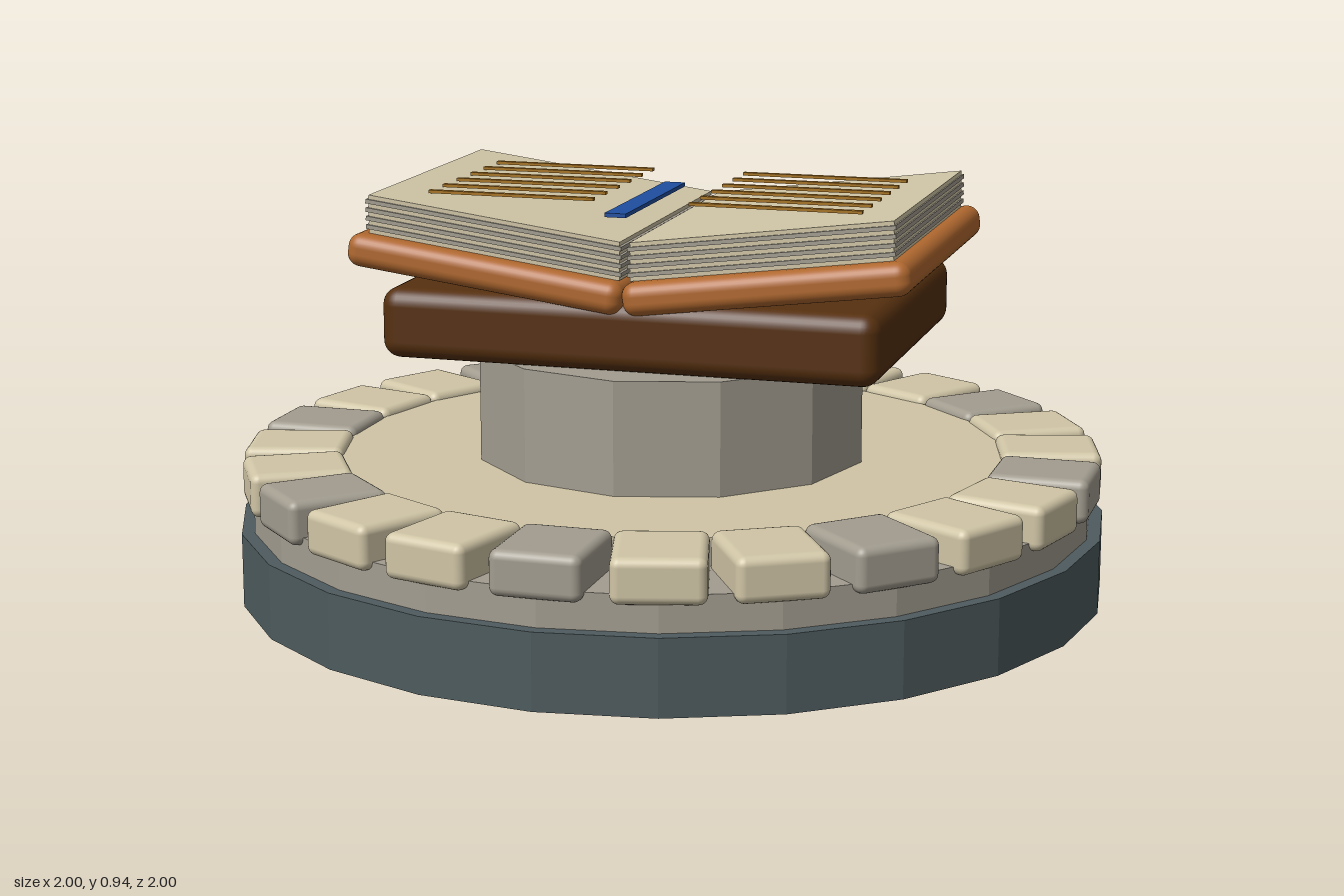
import * as THREE from 'three';
import { RoundedBoxGeometry } from 'three/addons/geometries/RoundedBoxGeometry.js';

const mat = (name, color, flat = false) => {
  const m = new THREE.MeshStandardMaterial({ color, flatShading: flat });
  m.name = name;
  return m;
};

export function createModel() {
  const model = new THREE.Group();
  model.name = 'openBookOnPedestal';

  const slate = mat('slate', 0x4e5b5e, true);
  const greyStone = mat('grey stone', 0xa39d90, true);
  const sand = mat('sand', 0xd0c5a6, true);
  const sandBlock = mat('sand block', 0xd0c5a6);
  const greyBlock = mat('grey block', 0xa39d90);
  const darkLeather = mat('dark leather', 0x56300f);
  const leather = mat('leather', 0xb0682f);
  const ink = mat('gold ink', 0xa87420);
  const blue = mat('blue ribbon', 0x1f4fa0);

  const add = (name, geometry, material, x, y, z, parent = model) => {
    const mesh = new THREE.Mesh(geometry, material);
    mesh.name = name;
    mesh.position.set(x, y, z);
    parent.add(mesh);
    return mesh;
  };
  const disc = (name, r, y0, y1, sides, material) =>
    add(name, new THREE.CylinderGeometry(r, r, y1 - y0, sides), material, 0, (y0 + y1) / 2, 0);

  // Stepped round plinth
  disc('base', 1, 0, 0.17, 24, slate);
  disc('middleStep', 0.97, 0.17, 0.25, 24, greyStone);
  disc('floorDrum', 0.77, 0.25, 0.305, 24, greyStone);
  disc('floor', 0.77, 0.305, 0.312, 24, sand);
  disc('pedestal', 0.45, 0.312, 0.57, 12, greyStone);

  // Ring of kerb blocks, every third one grey
  const blockGeometry = new RoundedBoxGeometry(0.2, 0.1, 0.23, 3, 0.02);
  const ring = new THREE.Group();
  ring.name = 'kerbRing';
  model.add(ring);
  for (let i = 0; i < 24; i++) {
    const a = (i / 24) * Math.PI * 2;
    const block = add('kerbBlock', blockGeometry, i % 3 ? sandBlock : greyBlock,
      Math.sin(a) * 0.87, 0.28, Math.cos(a) * 0.87, ring);
    block.rotation.y = a;
  }

  // Closed book underneath
  add('lowerBook', new RoundedBoxGeometry(1.14, 0.16, 0.77, 4, 0.04), darkLeather, 0, 0.65, 0);

  // Open book: one tilted cover and page stack per side
  const tilt = 0.13;
  const sheets = 9;
  const sheetHeight = 0.085 / sheets;
  for (const side of [1, -1]) {
    const half = new THREE.Group();
    half.name = side > 0 ? 'leftHalf' : 'rightHalf';
    half.position.y = 0.735;
    half.rotation.z = side * tilt;
    model.add(half);
    add('cover', new RoundedBoxGeometry(0.645, 0.075, 0.81, 4, 0.03), leather, side * 0.3225, 0, 0, half);

    // Sheets slide outwards with height so the page edges stay upright
    for (let i = 0; i < sheets; i++) {
      const y = 0.0375 + (i + 0.5) * sheetHeight;
      const inset = i % 2 ? 0 : 0.01;
      add('sheet', new THREE.BoxGeometry(0.6 - inset, sheetHeight, 0.735 - inset),
        i % 2 ? greyStone : sand, side * (0.307 + y * tilt), y, 0, half);
    }

    // Level lines of writing
    for (let i = 0; i < 6; i++)
      add('writingLine', new THREE.BoxGeometry(0.39, 0.007, 0.014), ink,
        side * 0.305, 0.93, -0.213 + i * 0.09);
  }

  // Ribbon bookmark
  add('ribbon', new THREE.BoxGeometry(0.048, 0.009, 0.45), blue, 0, 0.93, 0.205);

  return model;
}
